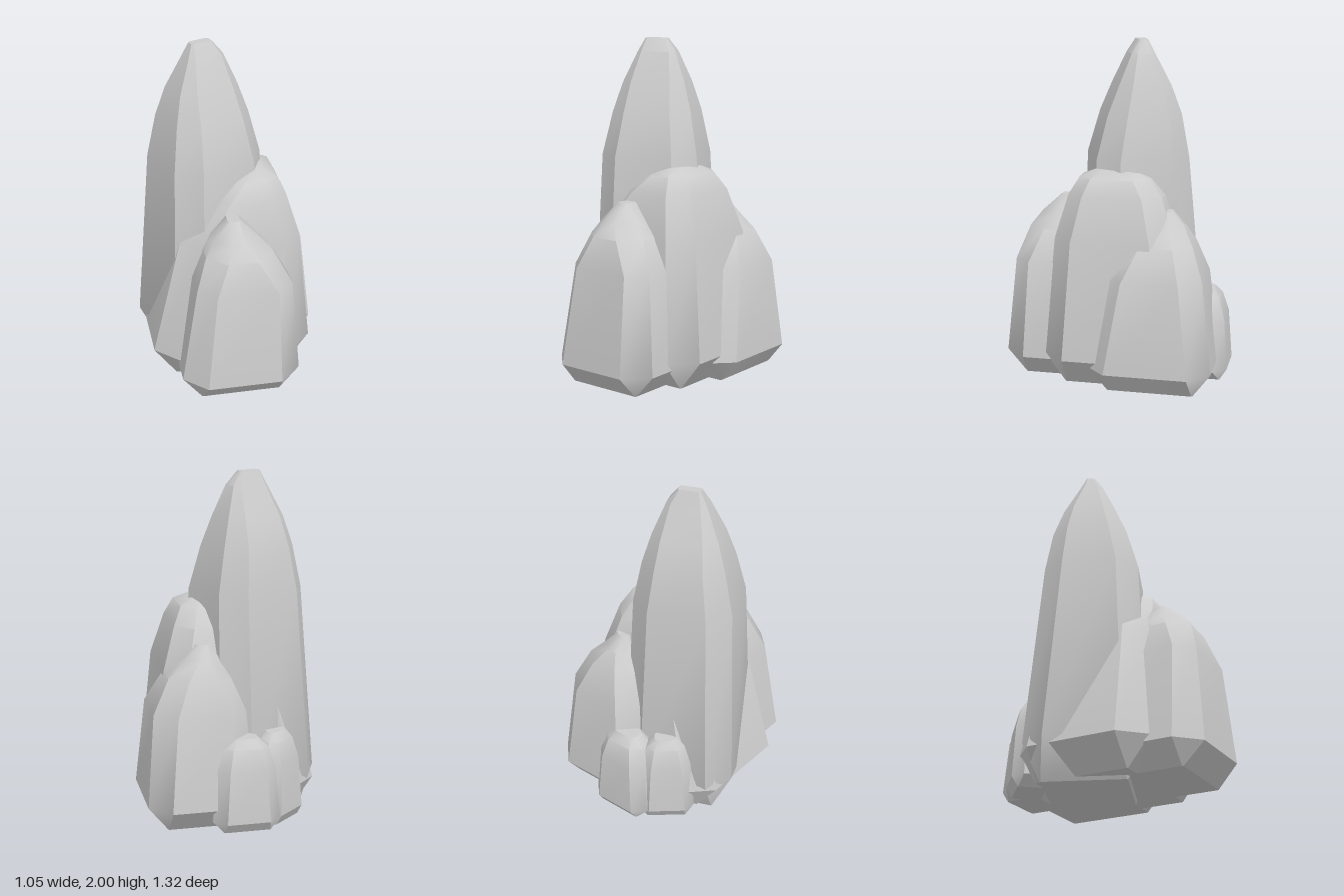
import * as THREE from 'three';
import { toCreasedNormals } from 'three/addons/utils/BufferGeometryUtils.js';

// One boulder: a stack of chamfered rectangles, each [y, x0, x1, z0, z1, chamfer]
function rock(name, rings, x = 0, z = 0, turn = 0) {
  const pos = [], idx = [];
  for (const [y, x0, x1, z0, z1, c] of rings) {
    const corners = [
      [x1, z0 + c], [x1, z1 - c], [x1 - c, z1], [x0 + c, z1],
      [x0, z1 - c], [x0, z0 + c], [x0 + c, z0], [x1 - c, z0],
    ];
    for (const [px, pz] of corners) pos.push(px, y, pz);
  }
  // Sides
  for (let r = 0; r < rings.length - 1; r++) {
    for (let i = 0; i < 8; i++) {
      const a = r * 8 + i, b = r * 8 + (i + 1) % 8;
      idx.push(a, a + 8, b, b, a + 8, b + 8);
    }
  }
  // Underside and tip
  const top = (rings.length - 1) * 8;
  for (let i = 1; i < 7; i++) {
    idx.push(0, i, i + 1, top, top + i + 1, top + i);
  }
  const geo = new THREE.BufferGeometry();
  geo.setAttribute('position', new THREE.Float32BufferAttribute(pos, 3));
  geo.setIndex(idx);
  const mesh = new THREE.Mesh(
    toCreasedNormals(geo, 0.65),
    new THREE.MeshStandardMaterial({ color: 0xcccccc })
  );
  mesh.name = name;
  mesh.position.set(x, 0, z);
  mesh.rotation.y = THREE.MathUtils.degToRad(turn);
  return mesh;
}

export function createModel() {
  const group = new THREE.Group();
  group.name = 'rockFormation';

  // The lowest ring of every rock is nearly square-cornered, so its chamfers end in points
  group.add(
    // Tall spire, turned about its own centre
    rock('spire', [
      [0.0, -0.21, 0.27, -0.24, 0.24, 0.005],
      [0.23, -0.325, 0.34, -0.345, 0.35, 0.13],
      [1.32, -0.28, 0.3, -0.25, 0.3, 0.12],
      [1.57, -0.23, 0.25, -0.21, 0.23, 0.1],
      [1.74, -0.18, 0.2, -0.15, 0.16, 0.07],
      [1.92, -0.1, 0.13, -0.06, 0.08, 0.03],
      [2.0, -0.06, 0.07, -0.025, 0.03, 0.01],
    ], -0.14, -0.09, 22),
    // Broad middle rock
    rock('middleRock', [
      [0.02, -0.36, 0.33, -0.3, 0.27, 0.005],
      [0.19, -0.49, 0.46, -0.42, 0.4, 0.14],
      [0.88, -0.32, 0.395, -0.36, 0.34, 0.12],
      [1.13, -0.13, 0.32, -0.28, 0.27, 0.1],
      [1.23, -0.01, 0.27, -0.2, 0.21, 0.08],
      [1.27, 0.09, 0.19, -0.11, 0.12, 0.04],
    ]),
    // Front rock
    rock('frontRock', [
      [0.02, -0.25, 0.22, 0.1, 0.54, 0.005],
      [0.15, -0.36, 0.335, 0.0, 0.66, 0.13],
      [0.72, -0.265, 0.29, 0.05, 0.6, 0.1],
      [0.9, -0.2, 0.19, 0.12, 0.54, 0.11],
      [0.98, -0.15, 0.11, 0.19, 0.48, 0.09],
      [1.08, -0.06, 0.01, 0.27, 0.37, 0.01],
    ]),
    // Rock at the back on the +x side
    rock('backSideRock', [
      [0.02, 0.0, 0.42, -0.5, 0.0, 0.005],
      [0.15, -0.11, 0.53, -0.6, 0.12, 0.12],
      [0.68, -0.06, 0.485, -0.54, 0.03, 0.12],
      [0.87, 0.02, 0.39, -0.47, -0.08, 0.1],
      [0.97, 0.09, 0.29, -0.41, -0.2, 0.07],
      [1.05, 0.14, 0.22, -0.34, -0.27, 0.02],
    ])
  );

  // Two small rocks at the back
  const small = [
    [0.02, -0.14, 0.13, -0.115, 0.08, 0.005],
    [0.08, -0.2, 0.19, -0.155, 0.15, 0.07],
    [0.38, -0.175, 0.165, -0.135, 0.12, 0.065],
    [0.5, -0.135, 0.125, -0.1, 0.08, 0.05],
    [0.55, -0.08, 0.07, -0.06, 0.04, 0.025],
  ];
  const backRock = rock('smallBackRock', small, -0.01, -0.5);
  const cornerRock = rock('smallCornerRock', small, -0.21, -0.415, 41);
  cornerRock.scale.set(0.85, 1, 0.85);
  group.add(backRock, cornerRock);

  return group;
}
